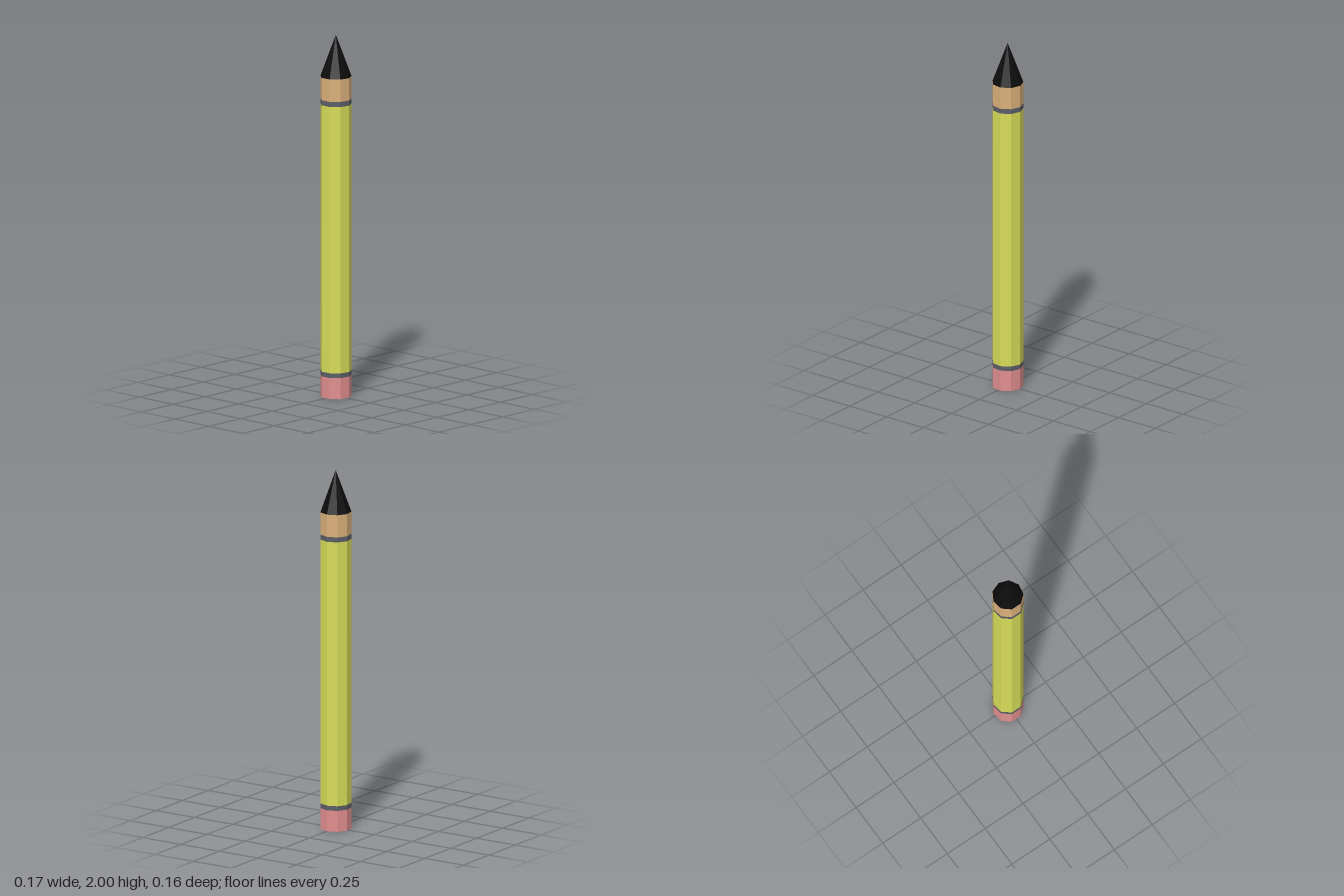
import * as THREE from 'three';

const SIDES = 9;
const RADIUS = 0.085;

// One faceted section of the pencil, between two heights
function section(name, color, y0, y1, topRadius = RADIUS, open = true) {
  const geometry = new THREE.CylinderGeometry(
    topRadius, RADIUS, y1 - y0, SIDES, 1, open, Math.PI);
  const material = new THREE.MeshStandardMaterial({ color, flatShading: true });
  const mesh = new THREE.Mesh(geometry, material);
  mesh.name = name;
  mesh.position.y = (y0 + y1) / 2;
  return mesh;
}

export function createModel() {
  const pencil = new THREE.Group();
  pencil.name = 'pencil';

  pencil.add(
    section('eraser', 0xe08e8e, 0, 0.117, RADIUS, false),
    section('lowerBand', 0x5c5e68, 0.117, 0.143),
    section('shaft', 0xd6dc58, 0.143, 1.618),
    section('upperBand', 0x5c5e68, 1.618, 1.646),
    section('woodCollar', 0xdab07a, 1.646, 1.77),
    section('leadTip', 0x0c0c0c, 1.77, 2, 0),
  );

  // An odd number of sides sits slightly off centre
  pencil.children.forEach((part) => { part.position.z = 0.001; });
  return pencil;
}
